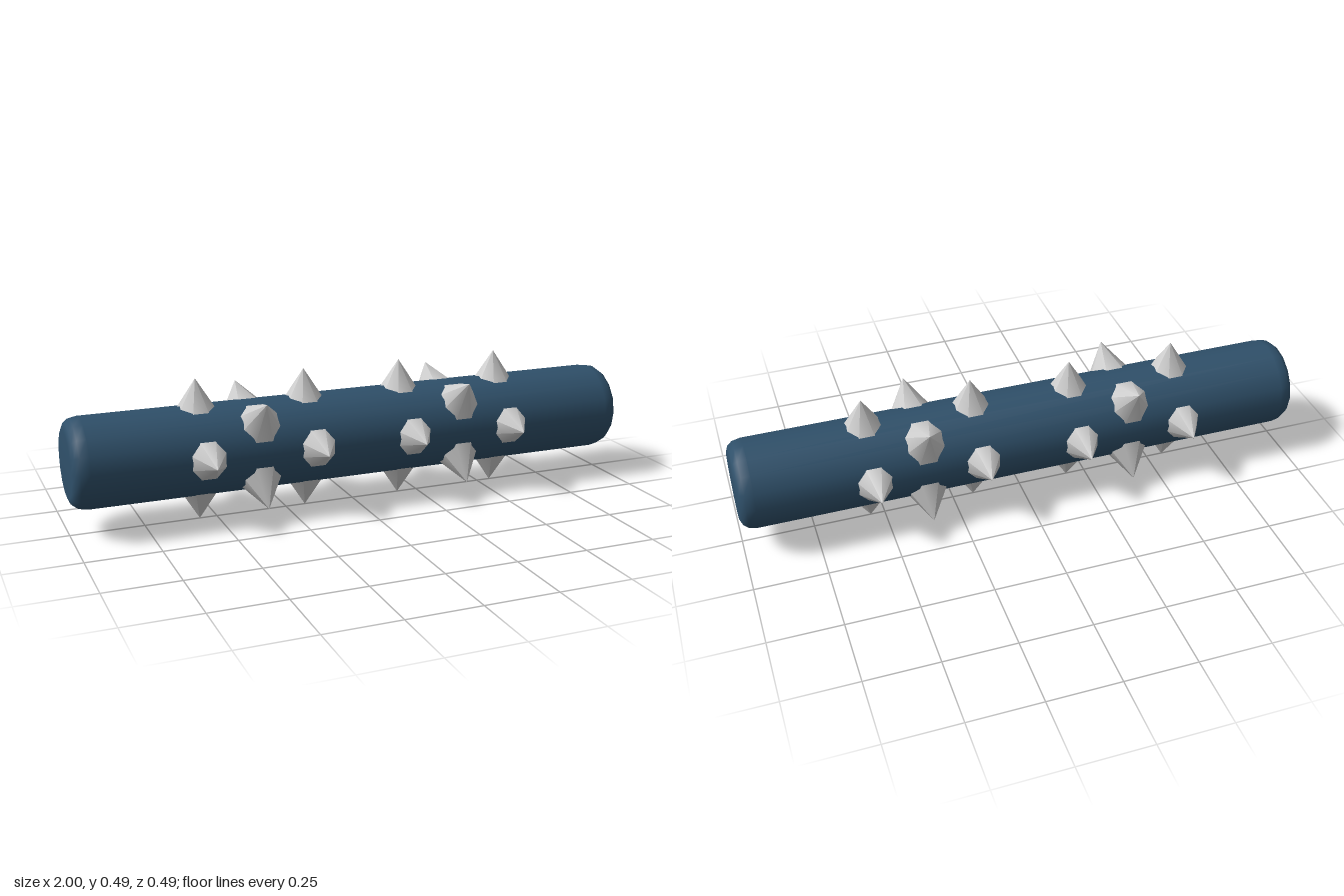
import * as THREE from 'three';

const AXIS_Y = 0.245;

export function createModel() {
  const model = new THREE.Group();
  const blue = new THREE.MeshStandardMaterial({ color: 0x2f506a });
  const grey = new THREE.MeshStandardMaterial({ color: 0xcccccc });

  // Rod: 16-sided bar lying along x, with softly rounded ends
  const end = [[0, 1], [0.115, 1], [0.136, 0.991], [0.148, 0.975], [0.154, 0.945]];
  const profile = [
    ...end.map(([r, x]) => new THREE.Vector2(r, -x)),
    ...end.slice().reverse().map(([r, x]) => new THREE.Vector2(r, x)),
  ];
  const rod = new THREE.Mesh(new THREE.LatheGeometry(profile, 16), blue);
  rod.name = 'rod';
  rod.rotation.z = -Math.PI / 2;
  rod.position.y = AXIS_Y;
  model.add(rod);

  // Spikes: rings of four, the middle ring of each cluster turned by 45 degrees
  const inner = 0.1;
  function addRing(x, tip, turn) {
    const height = tip - inner;
    const geometry = new THREE.ConeGeometry(height * 0.65, height, 8, 1, false, Math.PI / 8);
    geometry.translate(0, inner + height / 2, 0);
    const ring = new THREE.Group();
    ring.name = 'spikeRing';
    ring.position.set(x, AXIS_Y, 0);
    for (let i = 0; i < 4; i++) {
      const spike = new THREE.Mesh(geometry, grey);
      spike.name = 'spike';
      spike.rotation.x = turn + i * Math.PI / 2;
      ring.add(spike);
    }
    model.add(ring);
  }
  for (const x of [-0.56, -0.18, 0.175, 0.55]) addRing(x, 0.245, 0);
  for (const x of [-0.37, 0.365]) addRing(x, 0.253, Math.PI / 4);

  return model;
}
